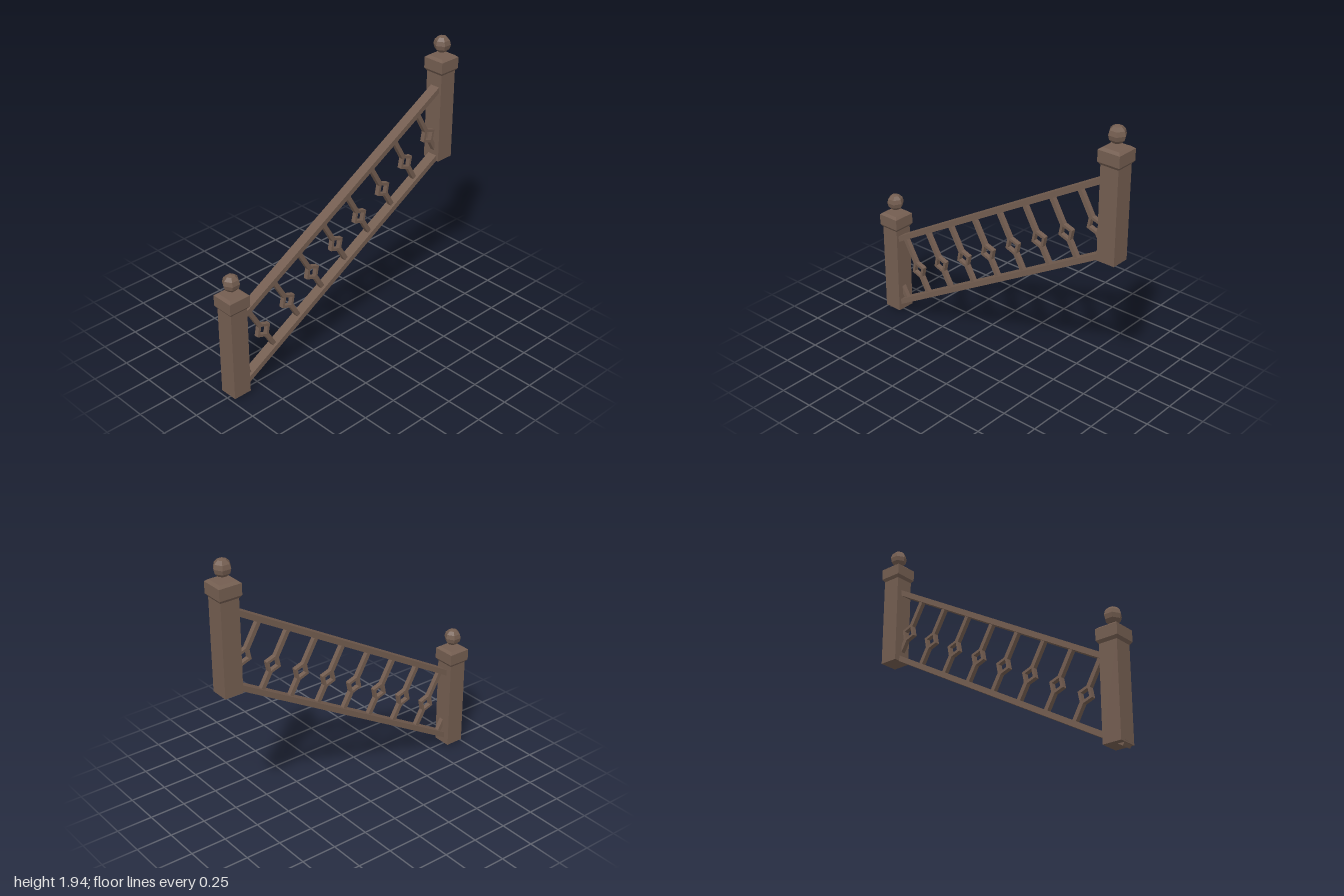
import * as THREE from 'three';

const wood = new THREE.MeshStandardMaterial({ color: 0x735d50 });
wood.name = 'brownWood';
wood.flatShading = true;

function addMesh(parent, name, geometry, x = 0, y = 0, z = 0) {
  const mesh = new THREE.Mesh(geometry, wood);
  mesh.name = name;
  mesh.position.set(x, y, z);
  parent.add(mesh);
  return mesh;
}

// Square post with a bevelled cap and a six-sided ball
function makePost(name) {
  const post = new THREE.Group();
  post.name = name;
  addMesh(post, 'postShaft', new THREE.BoxGeometry(0.13, 0.66, 0.13), 0, 0.33, 0);

  const capProfile = [[0, 0.634], [0.064, 0.634], [0.079, 0.655], [0.079, 0.732], [0.06, 0.747], [0, 0.747]]
    .map(([r, y]) => new THREE.Vector2(r * Math.SQRT2, y));
  addMesh(post, 'postCap', new THREE.LatheGeometry(capProfile, 4, Math.PI / 4).toNonIndexed());

  const ball = addMesh(post, 'postBall', new THREE.SphereGeometry(0.059, 6, 6), 0, 0.825, 0);
  ball.rotation.y = Math.PI / 2;
  return post;
}

// Flat bar with a pierced diamond, drawn in the plane of the slope
function balusterGeometry(bottom, top) {
  const mid = 0.206, half = 0.015, w = 0.061, h = 0.07, depth = 0.032;
  const join = h * (1 - half / w);
  const shape = new THREE.Shape([
    [-half, bottom], [half, bottom], [half, mid - join], [w, mid], [half, mid + join],
    [half, top], [-half, top], [-half, mid + join], [-w, mid], [-half, mid - join],
  ].map(([x, y]) => new THREE.Vector2(x, y)));
  shape.holes.push(new THREE.Path([[0, mid - 0.043], [-0.037, mid], [0, mid + 0.043], [0.037, mid]]
    .map(([x, y]) => new THREE.Vector2(x, y))));
  const geometry = new THREE.ExtrudeGeometry(shape, { depth, bevelEnabled: false });
  return geometry.translate(0, 0, -depth / 2);
}

export function createModel() {
  const model = new THREE.Group();
  model.name = 'stairRailing';

  // Newel posts
  const lowerPost = makePost('lowerPost');
  lowerPost.position.set(0, 0.022, 0.923);
  const upperPost = makePost('upperPost');
  upperPost.position.set(0, 1.057, -0.919);
  model.add(lowerPost, upperPost);

  // Sloped panel: local x runs up the slope, local y is square to it
  const panel = new THREE.Group();
  panel.name = 'slopedPanel';
  const c = Math.cos(Math.PI / 6), s = 0.5;
  panel.quaternion.setFromRotationMatrix(new THREE.Matrix4().makeBasis(
    new THREE.Vector3(0, s, -c), new THREE.Vector3(0, c, s), new THREE.Vector3(1, 0, 0)));
  panel.position.set(0.011, 0.5615, 0);
  model.add(panel);

  // Rails
  const thick = 0.037;
  const addRail = (name, from, to, y) =>
    addMesh(panel, name, new THREE.BoxGeometry(to - from, thick, 0.072), (from + to) / 2, y, 0);
  addRail('bottomRail', -1.12, 1.09, thick / 2);
  addRail('topRail', -0.81, 1.35, 0.475 - thick / 2);

  // Balusters; the lowest one is cut short inside the post
  const full = balusterGeometry(0.02, 0.455);
  const cut = balusterGeometry(0.02, 0.3);
  for (let k = -4; k <= 4; k++) {
    addMesh(panel, 'baluster', k === -4 ? cut : full, 0.052 + 0.2467 * k, 0, 0);
  }
  return model;
}
